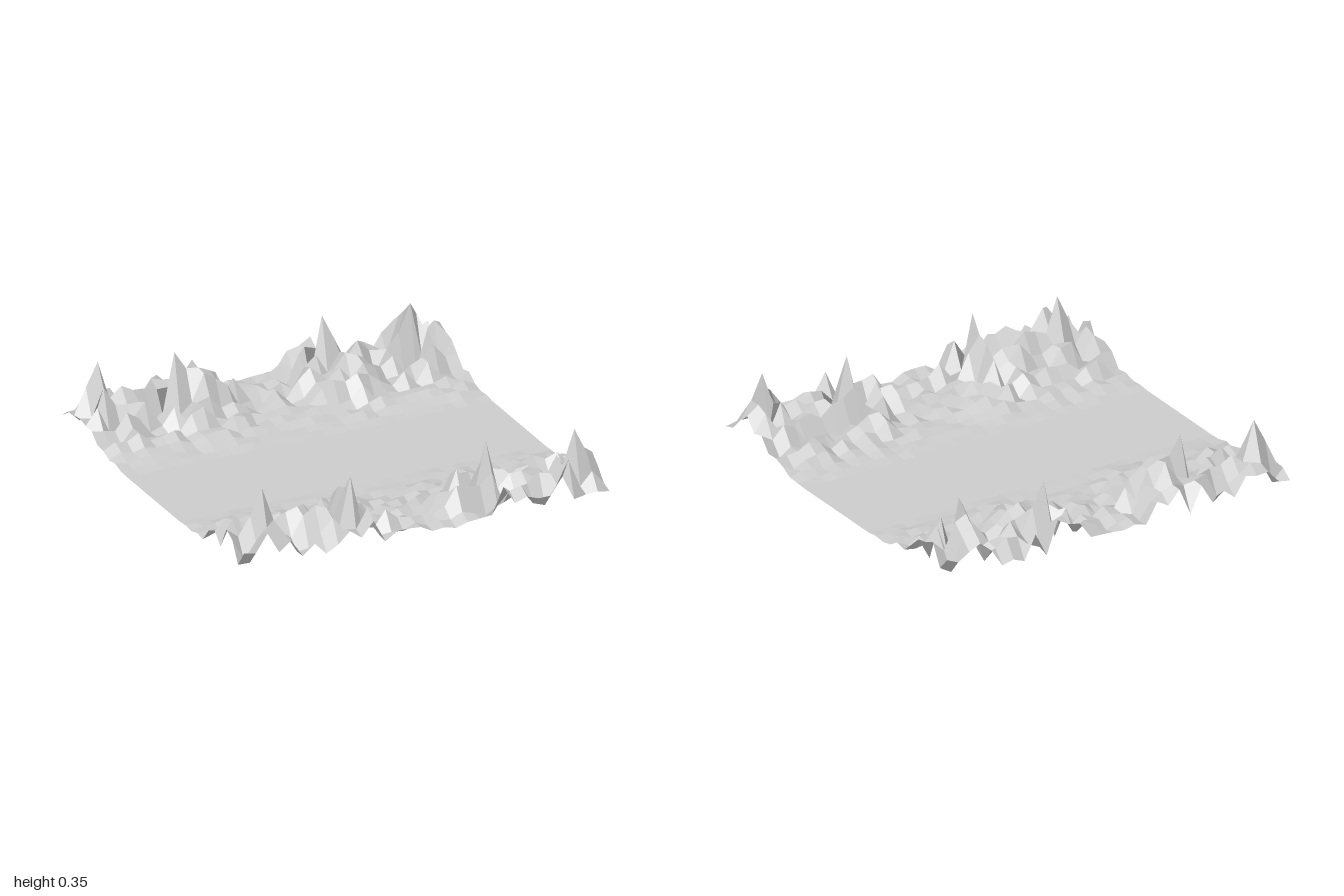
import * as THREE from 'three';

const CELLS = 31;
const STEP = 2 / CELLS;

// Piecewise-linear lookup in a list of [position, value] pairs
function sample(profile, t) {
  for (let i = 1; i < profile.length; i++) {
    const [a, va] = profile[i - 1], [b, vb] = profile[i];
    if (t <= b) return va + (vb - va) * (t - a) / (b - a);
  }
  return profile[profile.length - 1][1];
}

// Ridge line along x and mountain slope across |z|
const ridge = [[-1, 0.19], [-0.87, 0.3], [-0.8, 0.3], [-0.68, 0.21], [-0.6, 0.22], [-0.48, 0.3],
  [-0.35, 0.3], [-0.2, 0.2], [-0.1, 0.1], [0, 0.09], [0.1, 0.11], [0.2, 0.17], [0.3, 0.28],
  [0.42, 0.3], [0.5, 0.24], [0.6, 0.17], [0.7, 0.21], [0.8, 0.3], [0.87, 0.3], [1, 0.2]];
const slope = [[0.3, 0], [0.4, 0.09], [0.5, 0.25], [0.6, 0.45], [0.7, 0.75], [0.8, 1], [0.88, 1],
  [0.94, 0.8], [1, 0.75]];

// Main summits as column and row: four in the back range, four in the front
const summits = [[2, 2], [8, 3], [21, 2], [28, 3], [3, 28], [10, 29], [22, 28], [29, 29]];
const SUMMIT_HEIGHT = 0.355;

function seededRandom(seed) {
  return () => {
    seed = (seed * 1664525 + 1013904223) % 4294967296;
    return seed / 4294967296;
  };
}

// Height of every grid corner, indexed [row][column]
function makeHeights() {
  const random = seededRandom(77);
  const heights = [];
  for (let row = 0; row <= CELLS; row++) {
    heights.push([]);
    for (let column = 0; column <= CELLS; column++) {
      const roughness = 0.06 + 0.92 * random();
      const x = column * STEP - 1, z = Math.abs(row * STEP - 1);
      heights[row].push(z <= 0.3 ? 0 : sample(ridge, x) * sample(slope, z) * roughness);
    }
  }
  for (const [column, row] of summits) heights[row][column] = SUMMIT_HEIGHT;
  return heights;
}

export function createModel() {
  const group = new THREE.Group();
  group.name = 'valleyTerrain';

  // Level valley floor between two jagged ranges, each cell a separate facet
  const heights = makeHeights();
  const positions = [], normals = [], indices = [];
  const corner = (column, row) =>
    new THREE.Vector3(column * STEP - 1, heights[row][column], row * STEP - 1);
  for (let row = 0; row < CELLS; row++) {
    for (let column = 0; column < CELLS; column++) {
      const a = corner(column, row), b = corner(column, row + 1);
      const c = corner(column + 1, row + 1), d = corner(column + 1, row);
      // One normal for the whole cell, from its two diagonals
      const normal = c.clone().sub(a).cross(d.clone().sub(b)).normalize();
      const start = positions.length / 3;
      for (const point of [a, b, c, d]) {
        positions.push(...point.toArray());
        normals.push(...normal.toArray());
      }
      indices.push(start, start + 1, start + 3, start + 1, start + 2, start + 3);
    }
  }
  const geometry = new THREE.BufferGeometry();
  geometry.setAttribute('position', new THREE.Float32BufferAttribute(positions, 3));
  geometry.setAttribute('normal', new THREE.Float32BufferAttribute(normals, 3));
  geometry.setIndex(indices);

  const terrain = new THREE.Mesh(geometry, new THREE.MeshStandardMaterial({
    color: 0xcccccc, side: THREE.DoubleSide,
  }));
  terrain.name = 'terrain';
  group.add(terrain);
  return group;
}
